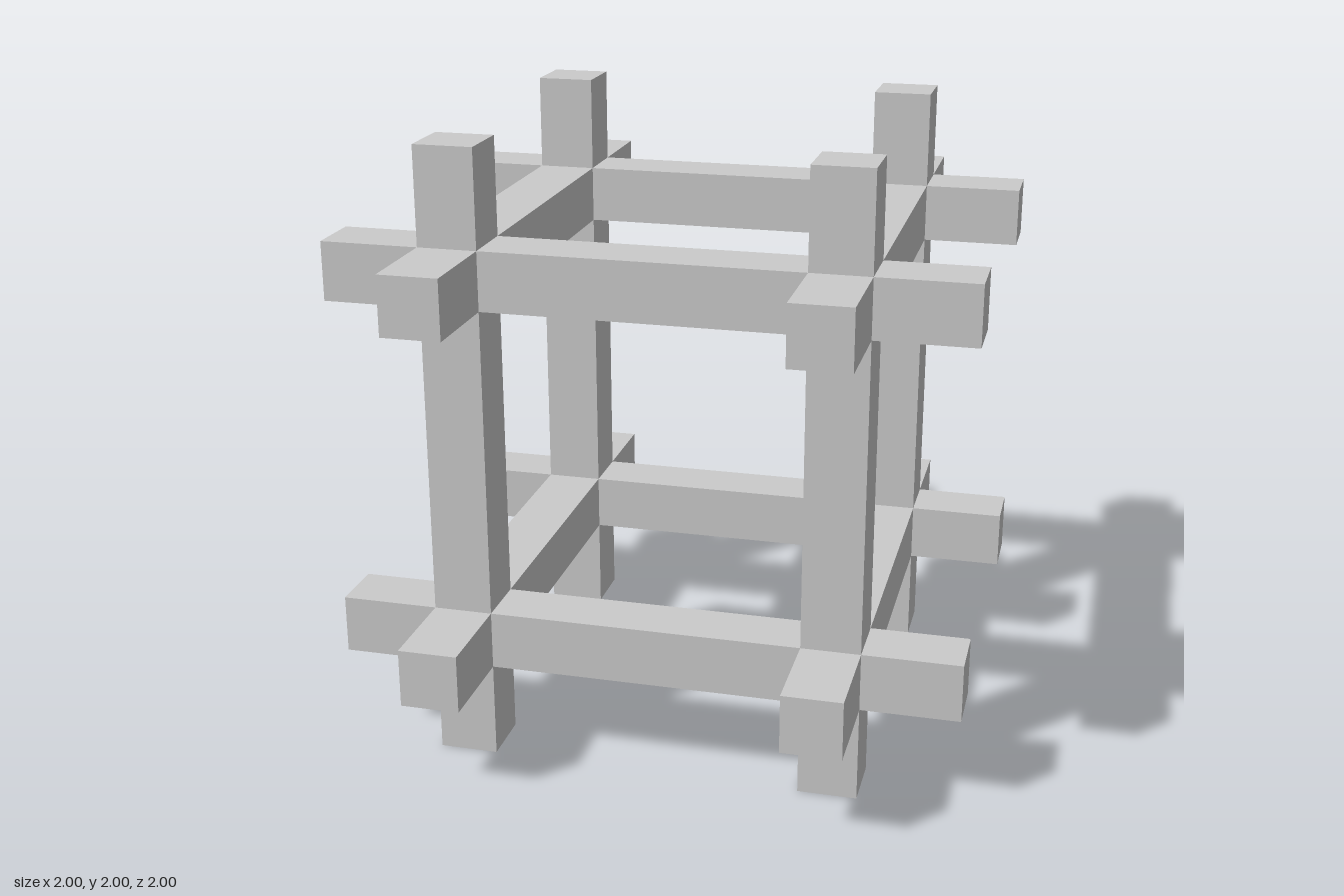
import * as THREE from 'three';

const LENGTH = 2;      // full length of every bar
const THICK = 0.188;   // square section
const OFFSET = 0.594;  // bar centre line from the middle of the frame

export function createModel() {
  const model = new THREE.Group();
  model.name = 'crossedBarCube';
  const material = new THREE.MeshStandardMaterial({ color: 0xcccccc, flatShading: true });

  // Four parallel bars along each axis, crossing at the eight corners
  const names = ['crossBar', 'post', 'depthBar'];
  names.forEach((name, axis) => {
    const size = [THICK, THICK, THICK];
    size[axis] = LENGTH;
    const geometry = new THREE.BoxGeometry(...size);
    const bars = new THREE.Group();
    bars.name = `${name}s`;
    for (const a of [-OFFSET, OFFSET]) {
      for (const b of [-OFFSET, OFFSET]) {
        const centre = [0, 0, 0];
        centre[(axis + 1) % 3] = a;
        centre[(axis + 2) % 3] = b;
        const bar = new THREE.Mesh(geometry, material);
        bar.name = name;
        bar.position.set(...centre);
        bars.add(bar);
      }
    }
    bars.position.y = LENGTH / 2; // stand on the ground
    model.add(bars);
  });

  return model;
}
